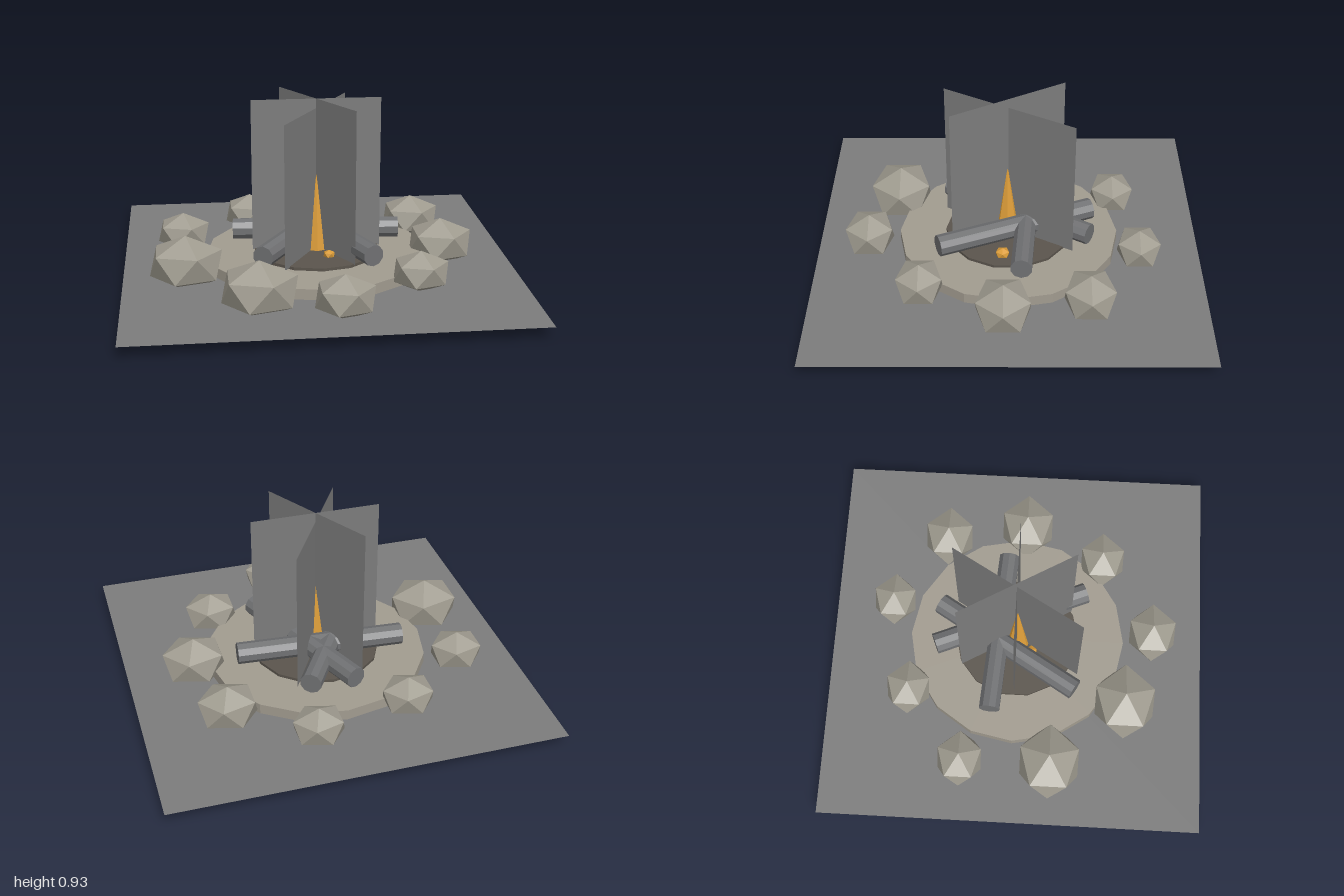
import * as THREE from 'three';

const flat = (name, color, side = THREE.FrontSide) => {
  const m = new THREE.MeshStandardMaterial({ color, flatShading: true, side });
  m.name = name;
  return m;
};

// Icosahedron standing on a vertex, with one upper ring corner towards +x
function poleIcosahedron() {
  const h = 1 / Math.sqrt(5), r = 2 * h;
  const ring = (y, offset) => Array.from({ length: 5 }, (_, i) => {
    const a = (i + offset) * Math.PI * 2 / 5;
    return [r * Math.cos(a), y, r * Math.sin(a)];
  });
  const up = ring(h, 0), low = ring(-h, 0.5), top = [0, 1, 0], bottom = [0, -1, 0];
  const points = [];
  for (let i = 0; i < 5; i++) {
    const j = (i + 1) % 5;
    points.push(top, up[j], up[i], up[i], up[j], low[i], low[i], up[j], low[j], bottom, low[i], low[j]);
  }
  const geo = new THREE.BufferGeometry();
  geo.setAttribute('position', new THREE.Float32BufferAttribute(points.flat(), 3));
  geo.computeVertexNormals();
  return geo;
}

export function createModel() {
  const group = new THREE.Group();
  group.name = 'campfire';
  const grey = flat('plain grey', 0x7c7c7c, THREE.DoubleSide);
  const sand = flat('pale ground', 0xa29c90);
  const ash = flat('dark ash', 0x5b554d);
  const stone = flat('stone', 0x9f9b8f);
  const wood = flat('charred wood', 0x707173);
  const gold = flat('fire gold', 0xdb9c38);

  const add = (name, geo, mat, x = 0, y = 0, z = 0) => {
    const mesh = new THREE.Mesh(geo, mat);
    mesh.name = name;
    mesh.position.set(x, y, z);
    group.add(mesh);
    return mesh;
  };

  // Ground sheet, raised clearing and ash bed
  add('ground', new THREE.PlaneGeometry(2, 2).rotateX(-Math.PI / 2), grey, 0, 0.065, 0);
  add('clearing', new THREE.CylinderGeometry(0.575, 0.575, 0.07, 16), sand, 0, 0.085, 0);
  add('ashBed', new THREE.CylinderGeometry(0.33, 0.33, 0.03, 14), ash, 0, 0.12, 0);

  // Ring of stones: x, z, width
  const ico = poleIcosahedron();
  [
    [-0.682, 0.203, 0.365], [-0.335, 0.59, 0.37], [0.06, 0.73, 0.29],
    [0.472, 0.447, 0.275], [0.652, 0.025, 0.325], [0.57, -0.407, 0.3],
    [0.18, -0.677, 0.26], [-0.317, -0.565, 0.265], [-0.69, -0.267, 0.27],
  ].forEach(([x, z, width], i) => {
    const r = width / 1.789;
    add(`stone${i + 1}`, ico, stone, x, 0.147, z).scale.set(r, r * 0.705, r * 0.88);
  });

  // Three crossed logs: both ends as x, z
  [
    [-0.085, -0.435, 0.25, 0.36],
    [0.147, -0.42, -0.3, 0.32],
    [-0.43, -0.125, 0.44, -0.065],
  ].forEach(([x1, z1, x2, z2], i) => {
    const dx = x2 - x1, dz = z2 - z1;
    const geo = new THREE.CylinderGeometry(0.056, 0.056, Math.hypot(dx, dz), 10).rotateX(Math.PI / 2);
    add(`log${i + 1}`, geo, wood, (x1 + x2) / 2, 0.205, (z1 + z2) / 2).rotation.y = Math.atan2(dx, dz);
  });

  // Flame cone and embers: x, z, radius
  add('flame', new THREE.ConeGeometry(0.073, 0.4, 8), gold, 0, 0.33, 0.005);
  [
    [0.23, 0.03, 0.04], [0.05, 0.155, 0.032], [-0.08, 0.08, 0.034], [0.02, -0.17, 0.03],
  ].forEach(([x, z, r], i) => {
    add(`ember${i + 1}`, ico, gold, x, 0.145, z).scale.set(r, r * 0.75, r);
  });

  // Upright crossed cards: width, height, turn in degrees
  [[0.667, 0.8, 0], [0.667, 0.8, -60], [0.767, 0.75, 60]].forEach(([w, h, turn], i) => {
    add(`flameCard${i + 1}`, new THREE.PlaneGeometry(w, h), grey, 0, 0.13 + h / 2, 0)
      .rotation.y = THREE.MathUtils.degToRad(turn);
  });

  return group;
}
